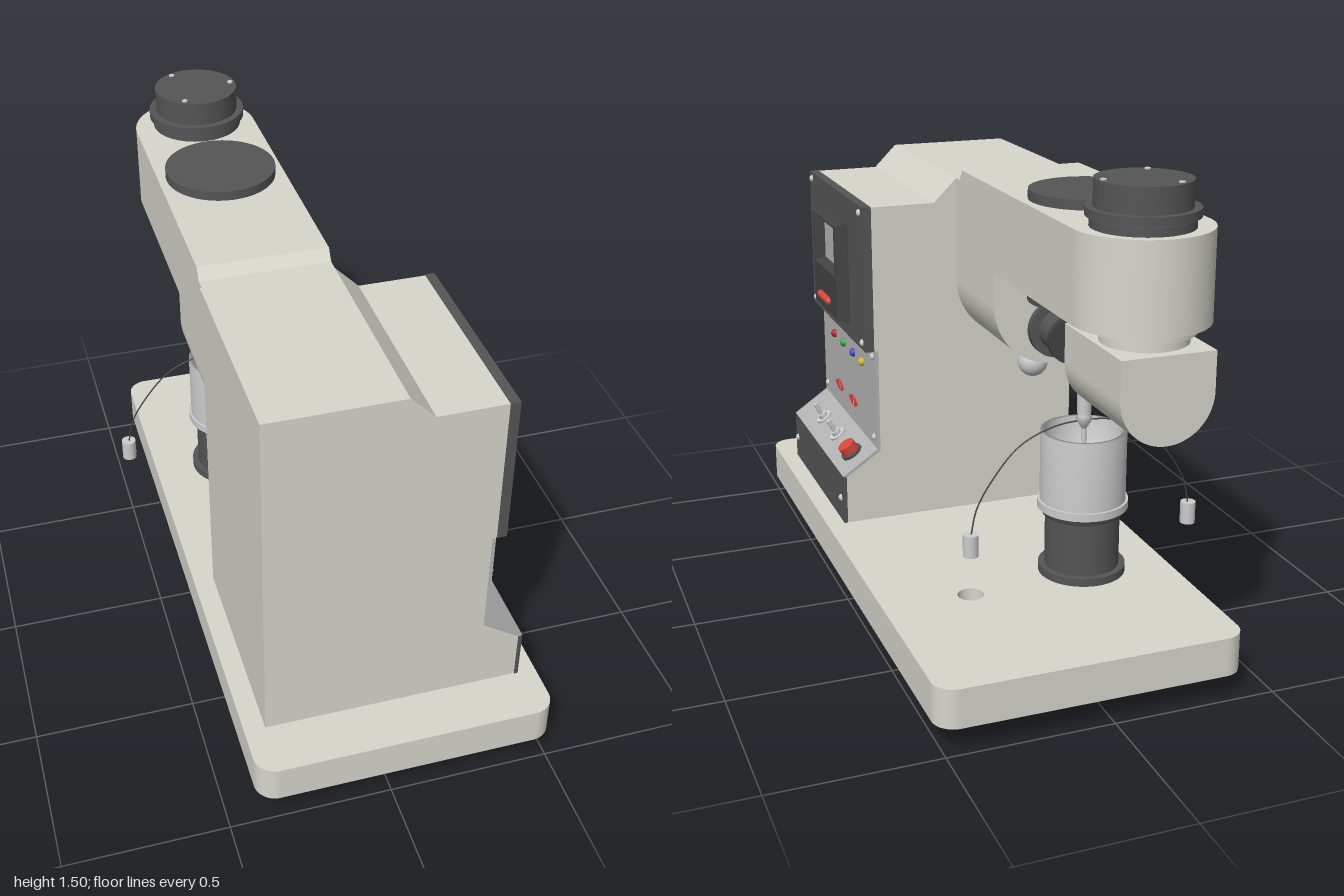
import * as THREE from 'three';

const mat = (color, opts = {}) => new THREE.MeshStandardMaterial({ color, ...opts });
const cream = mat(0xd6d6cc), dark = mat(0x555555), black = mat(0x424242), silver = mat(0xcccccc);
const plate = mat(0xb4b4b4), red = mat(0xd84840);
const open = mat(0xcccccc, { side: THREE.DoubleSide });
const AX = -0.14; // centre line of the arm
const WZ = -0.43; // depth of the work station

export function createModel() {
  const model = new THREE.Group();
  const add = (name, geo, material, x = 0, y = 0, z = 0, parent = model) => {
    const m = new THREE.Mesh(geo, material);
    m.name = name;
    m.position.set(x, y, z);
    parent.add(m);
    return m;
  };
  const poly = pts => new THREE.Shape(pts.map(p => new THREE.Vector2(...p)));
  const extrude = (shape, depth) =>
    new THREE.ExtrudeGeometry(shape, { depth, bevelEnabled: false, curveSegments: 32 });
  // Profile in x-y, running from z0 to z1
  const alongZ = (name, shape, z0, z1, material) => add(name, extrude(shape, z1 - z0), material, 0, 0, z0);
  // Plan in x and -z, running from y0 to y1
  const alongY = (name, shape, y0, y1, material) =>
    add(name, extrude(shape, y1 - y0).rotateX(-Math.PI / 2), material, 0, y0, 0);
  // Upright cylinder between two heights
  const disc = (name, r, y0, y1, x, z, material, rTop = r) =>
    add(name, new THREE.CylinderGeometry(rTop, r, y1 - y0, 48), material, x, (y0 + y1) / 2, z);
  // Cylinder lying along z
  const barrel = (name, r, z0, z1, x, y, material) =>
    add(name, new THREE.CylinderGeometry(r, r, z1 - z0, 40).rotateX(Math.PI / 2), material, x, y, (z0 + z1) / 2);
  const lathe = (name, pts, material, x, z) =>
    add(name, new THREE.LatheGeometry(pts.map(p => new THREE.Vector2(...p)), 48), material, x, 0, z);
  // U-shaped section, rounded at the bottom
  const uShape = (r, bottom, top) => {
    const s = new THREE.Shape();
    s.moveTo(AX - r, top);
    s.lineTo(AX - r, bottom + r);
    s.absarc(AX, bottom + r, r, Math.PI, Math.PI * 2, false);
    s.lineTo(AX + r, top);
    return s;
  };

  // Base plate with a round recess, on four feet
  const basePlan = () => {
    const s = new THREE.Shape(), r = 0.065, x0 = -0.41, x1 = 0.52;
    s.absarc(x1 - r, 1 - r, r, 0, Math.PI / 2);
    s.absarc(x0 + r, 1 - r, r, Math.PI / 2, Math.PI);
    s.absarc(x0 + r, r - 1, r, Math.PI, Math.PI * 1.5);
    s.absarc(x1 - r, r - 1, r, Math.PI * 1.5, Math.PI * 2);
    return s;
  };
  alongY('baseBottom', basePlan(), 0.08, 0.16, cream);
  const topPlan = basePlan();
  topPlan.holes.push(new THREE.Path().absarc(0.245, 0.485, 0.04, 0, Math.PI * 2, true));
  alongY('baseTop', topPlan, 0.16, 0.2, cream);
  for (const x of [-0.26, 0.4]) for (const z of [0.88, -0.83]) {
    disc('footPad', 0.07, 0.04, 0.08, x, z, silver, 0.075);
    disc('footStud', 0.025, 0, 0.04, x, z, silver);
  }

  // Cabinet with its stepped side
  alongZ('cabinet', poly([[-0.345, 0.2], [0.455, 0.2], [0.455, 0.36], [0.335, 0.44], [0.335, 0.785],
    [0.36, 0.785], [0.36, 1.26], [0.135, 1.26], [0.06, 1.335], [-0.345, 1.335]]), 0.16, 0.83, cream);
  alongZ('upperPanel', poly([[0.345, 0.785], [0.375, 0.785], [0.375, 1.262], [0.345, 1.262]]), 0.158, 0.832, dark);
  alongZ('controlPanel', poly([[0.452, 0.36], [0.462, 0.365], [0.342, 0.447], [0.342, 0.785],
    [0.332, 0.785], [0.332, 0.44]]), 0.158, 0.832, plate);
  alongZ('lowerPanel', poly([[0.45, 0.2], [0.462, 0.2], [0.462, 0.365], [0.45, 0.362]]), 0.158, 0.832, dark);

  // Panel screws
  const screwRows = [[0.375, 1.24], [0.375, 0.81], [0.342, 0.76], [0.342, 0.48], [0.462, 0.28]];
  for (const [x, y] of screwRows) for (const z of [0.8, 0.19])
    add('panelScrew', new THREE.SphereGeometry(0.012, 16, 10), silver, x, y, z).scale.x = 0.8;

  // Display with bevelled frame, screen and red key
  const rect = (w, h, cx, cy, C = THREE.Shape) => new C([[-1, -1], [1, -1], [1, 1], [-1, 1]]
    .map(([a, b]) => new THREE.Vector2(cx + a * w / 2, cy + b * h / 2)));
  const frame = rect(0.29, 0.315, 0, 0);
  frame.holes.push(rect(0.255, 0.165, 0, 0.068, THREE.Path));
  add('displayFrame', new THREE.ExtrudeGeometry(frame, {
    depth: 0.002, bevelSize: 0.015, bevelThickness: 0.038, bevelSegments: 1,
  }).rotateY(Math.PI / 2), black, 0.375, 1.003, 0.5);
  add('screen', new THREE.BoxGeometry(0.012, 0.15, 0.24), plate, 0.376, 1.071, 0.5);
  add('displayKey', new THREE.CapsuleGeometry(0.013, 0.11, 6, 16).rotateX(Math.PI / 2), red, 0.418, 0.888, 0.5);

  // Indicator lamps and arrow marks
  [[0.67, 0xc02020], [0.55, 0x40a050], [0.425, 0x4848c0], [0.315, 0xc8b830]].forEach(([z, c]) =>
    add('indicatorLamp', new THREE.SphereGeometry(0.015, 20, 12), mat(c), 0.343, 0.705, z));
  for (const [z, d] of [[0.66, 1], [0.59, -1], [0.48, 1], [0.41, -1]]) {
    const pts = [[-0.025 * d, 0], [0.025 * d, -0.02 * d], [0.025 * d, 0.02 * d]];
    add('arrowMark', extrude(poly(pts), 0.004).rotateY(Math.PI / 2), red, 0.341, 0.525, z);
  }

  // Switches and push button on the sloping console
  const onSlope = (name, z) => {
    const g = new THREE.Group();
    g.name = name;
    g.position.set(0.402, 0.406, z);
    g.rotation.z = -0.59;
    model.add(g);
    return (part, r, h0, h1, m) =>
      add(part, new THREE.CylinderGeometry(r, r, h1 - h0, 24), m, 0, (h0 + h1) / 2, 0, g);
  };
  for (const z of [0.63, 0.445]) {
    const part = onSlope('toggleSwitch', z);
    part('switchWasher', 0.029, 0, 0.007, silver);
    part('switchNut', 0.016, 0, 0.02, silver);
    part('switchLever', 0.008, 0, 0.065, silver).rotation.z = 0.12;
  }
  const button = onSlope('pushButton', 0.26);
  button('buttonCollar', 0.037, 0, 0.01, dark);
  button('buttonCap', 0.03, 0, 0.04, red);

  // Round knob on the cabinet back
  barrel('knobStem', 0.03, 0.12, 0.16, -0.2, 0.7, silver);
  add('roundKnob', new THREE.SphereGeometry(0.05, 32, 20), silver, -0.2, 0.7, 0.135);

  // Arm: rounded column, horizontal beam and short ramp
  alongZ('armColumn', uShape(0.2, 0.8, 1.335), -0.19, 0.16, cream);
  const beam = new THREE.Shape();
  beam.moveTo(AX - 0.2, -0.1);
  beam.lineTo(AX + 0.2, -0.1);
  beam.lineTo(AX + 0.2, 0.785);
  beam.absarc(AX, 0.785, 0.2, 0, Math.PI);
  alongY('armBeam', beam, 1.105, 1.37, cream);
  add('armRamp', extrude(poly([[-0.1, 1.3], [-0.1, 1.37], [-0.125, 1.335], [-0.125, 1.3]].reverse()), 0.4)
    .rotateY(Math.PI / 2), cream, AX - 0.2, 0, 0);

  // Cover plates above and below the beam
  disc('topCover', 0.175, 1.37, 1.4, AX, WZ, dark);
  disc('bottomCover', 0.175, 1.07, 1.105, AX, WZ, dark);

  // Adjusting dial with three small screws
  const DZ = -0.81;
  disc('dialBase', 0.145, 1.37, 1.395, AX + 0.01, DZ, dark);
  disc('dialFlange', 0.157, 1.4, 1.425, AX + 0.01, DZ, dark);
  disc('dialNeck', 0.13, 1.39, 1.43, AX + 0.01, DZ, black);
  disc('dialKnob', 0.135, 1.425, 1.5, AX + 0.01, DZ, dark);
  for (let i = 0; i < 3; i++) {
    const a = i * Math.PI * 2 / 3;
    disc('dialScrew', 0.009, 1.495, 1.504, AX + 0.01 + 0.118 * Math.cos(a), DZ + 0.118 * Math.sin(a), silver);
  }

  // Swivelling head under the beam end
  disc('headSwivel', 0.145, 1.085, 1.105, AX, DZ - 0.01, cream);
  disc('headNeck', 0.125, 1.04, 1.09, AX, DZ - 0.01, cream);
  alongZ('headBody', uShape(0.14, 0.8, 1.055), -0.975, -0.6, cream);

  // Facing lenses
  const LY = 0.915;
  barrel('headLensRing', 0.085, -0.6, -0.58, AX, LY, dark);
  barrel('headLensFront', 0.09, -0.58, -0.565, AX, LY, black);
  barrel('lensFlange', 0.09, -0.215, -0.19, AX, LY, dark);
  barrel('lensBody', 0.062, -0.315, -0.21, AX, LY, dark);
  barrel('lensFront', 0.076, -0.335, -0.315, AX, LY, black);

  // Work pedestal with open cup
  disc('pedestalFoot', 0.135, 0.2, 0.225, AX, WZ, dark);
  disc('pedestal', 0.115, 0.22, 0.395, AX, WZ, dark);
  disc('pedestalCollar', 0.125, 0.395, 0.415, AX, WZ, black);
  disc('cupRing', 0.14, 0.415, 0.44, AX, WZ, silver);
  lathe('cup', [[0, 0.46], [0.118, 0.46], [0.118, 0.66], [0.132, 0.66], [0.132, 0.44]], open, AX, WZ);

  // Pointed spindle standing in the cup
  lathe('spindle', [[0, 0.66], [0.008, 0.665], [0.026, 0.695], [0.02, 0.705], [0.022, 0.72], [0.024, 0.9],
    [0.03, 0.905], [0.03, 0.925], [0.012, 0.93], [0.012, 0.95], [0, 0.96]], open, AX, WZ);
  disc('spindlePin', 0.008, 0.46, 0.67, AX, WZ, silver);

  // Hanging wire with a weight on each end
  const wire = new THREE.CatmullRomCurve3([[-0.365, 0.36], [-0.345, 0.45], [-0.285, 0.55], [-0.205, 0.635],
    [-0.1, 0.68], [0, 0.69], [0.1, 0.68], [0.205, 0.635], [0.285, 0.55], [0.345, 0.45], [0.365, 0.36]]
    .map(([x, y]) => new THREE.Vector3(AX + x, y, WZ)));
  add('wire', new THREE.TubeGeometry(wire, 60, 0.0025, 8), black);
  for (const s of [-1, 1]) disc('wireWeight', 0.024, 0.3, 0.37, AX + s * 0.365, WZ, silver);

  return model;
}
